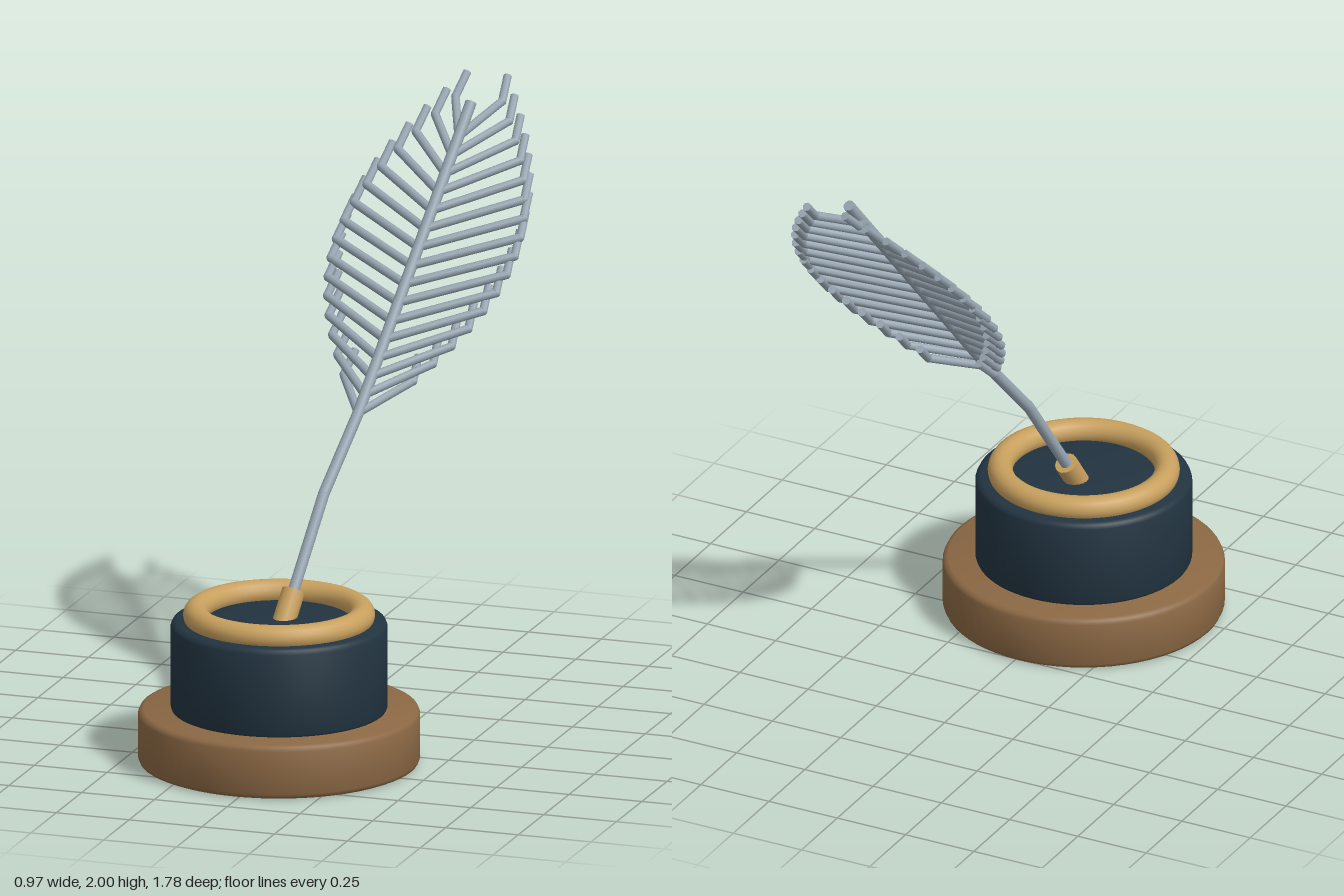
import * as THREE from 'three';
import { toCreasedNormals } from 'three/addons/utils/BufferGeometryUtils.js';

const wood = new THREE.MeshStandardMaterial({ name: 'wood brown', color: 0x8b6844 });
const navy = new THREE.MeshStandardMaterial({ name: 'ink navy', color: 0x223441 });
const gold = new THREE.MeshStandardMaterial({ name: 'brass gold', color: 0xc8a05e });
const steel = new THREE.MeshStandardMaterial({ name: 'feather grey', color: 0x98a6b2 });

const CX = -0.017, CZ = 0.44; // centre of the stand
const V = (x, y, z) => new THREE.Vector3(x, y, z);

function part(parent, name, geometry, material) {
  const mesh = new THREE.Mesh(geometry, material);
  mesh.name = name;
  parent.add(mesh);
  return mesh;
}

// Upright disc with softened rims
function disc(r, y0, y1, b) {
  const p = [[0, y0], [r - b, y0], [r - b * 0.3, y0 + b * 0.3], [r, y0 + b],
    [r, y1 - b], [r - b * 0.3, y1 - b * 0.3], [r - b, y1], [0, y1]];
  const g = new THREE.LatheGeometry(p.map(([x, y]) => new THREE.Vector2(x, y)), 64);
  return toCreasedNormals(g, 0.9);
}

// Round rod between two points
function rod(parent, name, a, b, r, material, sides = 10) {
  const mesh = part(parent, name, new THREE.CylinderGeometry(r, r, a.distanceTo(b), sides), material);
  mesh.position.copy(a).add(b).multiplyScalar(0.5);
  mesh.quaternion.setFromUnitVectors(V(0, 1, 0), b.clone().sub(a).normalize());
  return mesh;
}

export function createModel() {
  const model = new THREE.Group();
  model.name = 'quillAndInkwell';

  // Stand
  const stand = new THREE.Group();
  stand.name = 'stand';
  stand.position.set(CX, 0, CZ);
  model.add(stand);
  part(stand, 'base', disc(0.458, 0, 0.18, 0.018), wood);
  part(stand, 'inkwell', disc(0.352, 0.17, 0.475, 0.018), navy);
  const ring = part(stand, 'rimRing', new THREE.TorusGeometry(0.271, 0.041, 16, 64), gold);
  ring.rotation.x = Math.PI / 2;
  ring.position.y = 0.495;

  // Quill shaft, bent in two places
  const quill = new THREE.Group();
  quill.name = 'quill';
  model.add(quill);
  rod(quill, 'quillSocket', V(-0.013, 0.45, 0.417), V(0.002, 0.553, 0.352), 0.038, gold, 16);
  const bends = [V(-0.003, 0.52, 0.373), V(0.042, 0.835, 0.168), V(0.094, 1.06, -0.02), V(0.241, 1.935, -0.71)];
  for (let i = 0; i < 3; i++) {
    rod(quill, 'shaft', bends[i], bends[i + 1], 0.019, steel, 12);
    if (i > 0) part(quill, 'shaftJoint', new THREE.SphereGeometry(0.019, 12, 8), steel).position.copy(bends[i]);
  }

  // Pairs of barbs, swept back with upturned tips
  const N = 16;
  for (let i = 0; i < N; i++) {
    const s = i / (N - 1);
    const root = bends[2].clone().lerp(bends[3], s * 0.89);
    const width = 0.3 * Math.sin(Math.PI * (0.13 + 0.8 * s)) + 0.015 * s;
    for (const side of [-1, 1]) {
      const elbow = root.clone().add(V(0.012 + side * width, 0.075 + 0.008 * s, -0.165));
      const tip = elbow.clone().add(V(0.005 - side * 0.011, 0.066, -0.07));
      rod(quill, 'barb', root, elbow, 0.0145, steel, 8);
      rod(quill, 'barbTip', elbow, tip, 0.0145, steel, 8);
      part(quill, 'barbElbow', new THREE.SphereGeometry(0.0145, 8, 6), steel).position.copy(elbow);
    }
  }
  return model;
}
